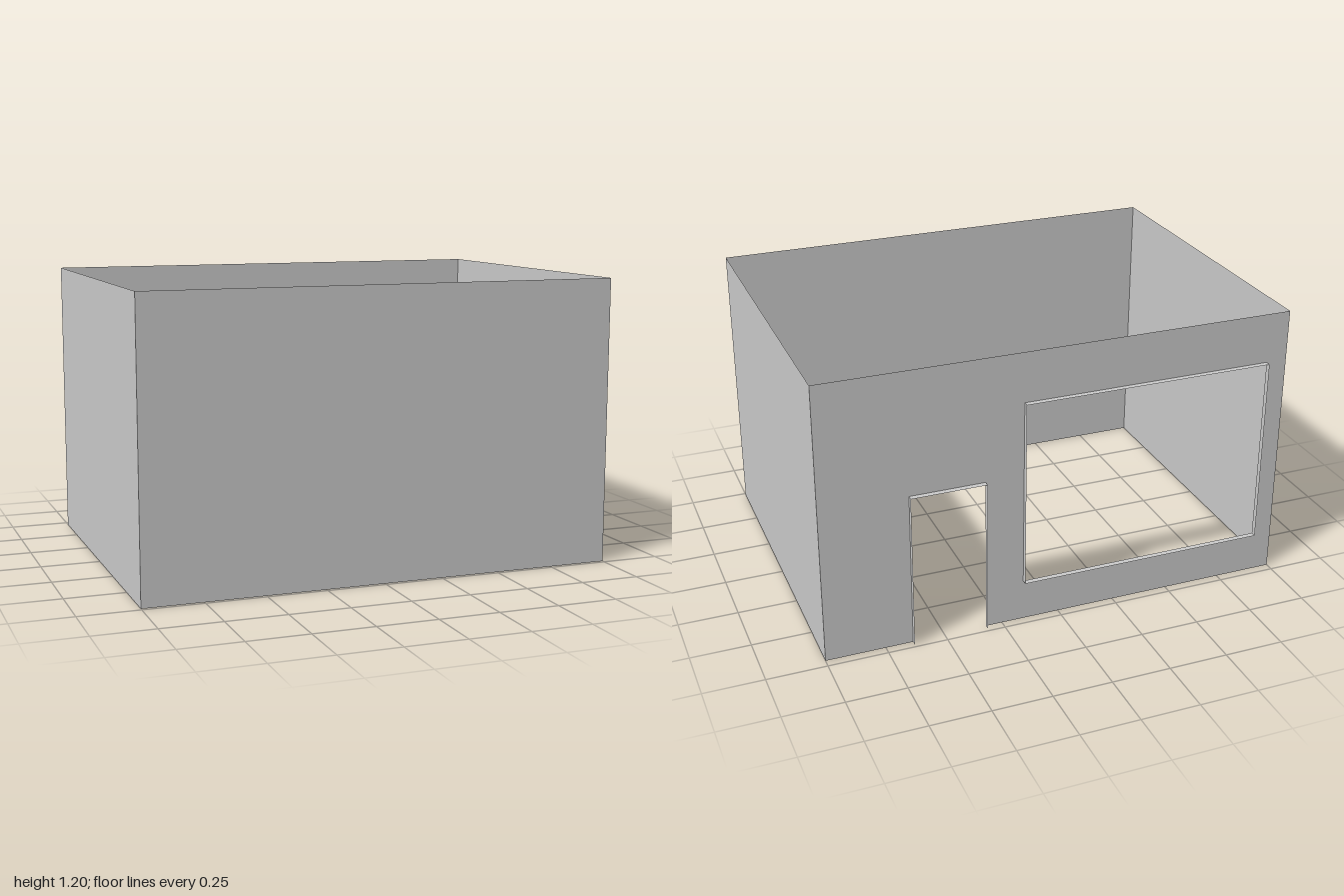
import * as THREE from 'three';

const W = 1, H = 1.2, FRONT = 0.737, BACK = -0.713, RIM = -0.737;
const DOOR = { x0: 0.32, x1: 0.635, y0: 0, y1: 0.67 };
const WINDOW = { x0: -0.91, x1: 0.157, y0: 0.18, y1: 0.987 };

export function createModel() {
  const room = new THREE.Group();
  room.name = 'room';
  const material = new THREE.MeshStandardMaterial({ color: 0xcccccc, side: THREE.DoubleSide });

  const add = (name, geometry, parent = room) => {
    const mesh = new THREE.Mesh(geometry, material);
    mesh.name = name;
    parent.add(mesh);
    return mesh;
  };

  // Solid front wall
  add('frontWall', new THREE.PlaneGeometry(2 * W, H)).position.set(0, H / 2, FRONT);

  // Mirrored side walls
  for (const side of [-1, 1]) {
    const wall = add(side > 0 ? 'leftWall' : 'rightWall', new THREE.PlaneGeometry(FRONT - BACK, H));
    wall.rotation.y = side * Math.PI / 2;
    wall.position.set(side * W, H / 2, (FRONT + BACK) / 2);
  }

  // Back wall: door notch in the outline, window as a hole
  const outline = [
    [-W, 0], [DOOR.x0, 0], [DOOR.x0, DOOR.y1], [DOOR.x1, DOOR.y1], [DOOR.x1, 0], [W, 0], [W, H], [-W, H],
  ];
  const shape = new THREE.Shape(outline.map(([x, y]) => new THREE.Vector2(x, y)));
  const { x0, x1, y0, y1 } = WINDOW;
  shape.holes.push(new THREE.Path([[x0, y0], [x0, y1], [x1, y1], [x1, y0]].map(([x, y]) => new THREE.Vector2(x, y))));
  // Turned to face outwards, so x is mirrored first
  const backGeometry = new THREE.ShapeGeometry(shape);
  add('backWall', backGeometry).position.z = BACK;

  // Thin reveals standing out from the back wall around each opening
  const depth = BACK - RIM, midZ = (BACK + RIM) / 2;
  const addReveal = (name, o, hasSill) => {
    const group = new THREE.Group();
    group.name = name;
    room.add(group);
    for (const [label, x, turn] of [['rightJamb', o.x0, 1], ['leftJamb', o.x1, -1]]) {
      const jamb = add(label, new THREE.PlaneGeometry(depth, o.y1 - o.y0), group);
      jamb.rotation.y = turn * Math.PI / 2;
      jamb.position.set(x, (o.y0 + o.y1) / 2, midZ);
    }
    const level = (label, y, turn) => {
      const strip = add(label, new THREE.PlaneGeometry(o.x1 - o.x0, depth), group);
      strip.rotation.x = turn * Math.PI / 2;
      strip.position.set((o.x0 + o.x1) / 2, y, midZ);
    };
    level('head', o.y1, 1);
    if (hasSill) level('sill', o.y0, -1);
  };
  addReveal('doorFrame', DOOR, false);
  addReveal('windowFrame', WINDOW, true);

  return room;
}
